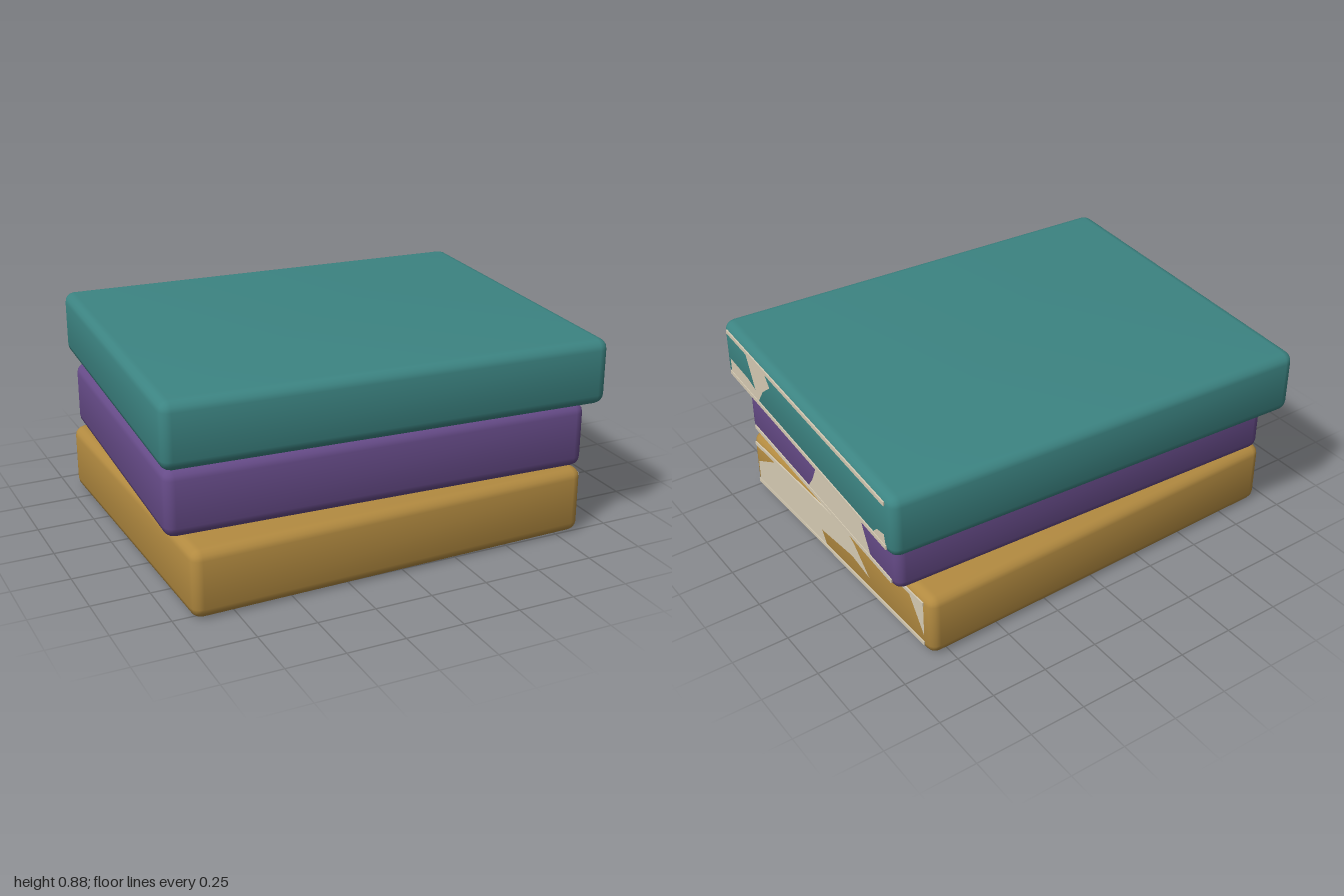
import * as THREE from 'three';
import { RoundedBoxGeometry } from 'three/addons/geometries/RoundedBoxGeometry.js';

const flat = (name, color) => {
  const m = new THREE.MeshStandardMaterial({ color });
  m.name = name;
  return m;
};

// Each book: size, height range, turn, and the page patches showing on its +x side
const BOOKS = [
  {
    name: 'bottomBook', cover: ['ochre', 0xb28a40], w: 1.79, d: 1.455, y: [0, 0.295],
    x: -0.047, z: 0.055, turn: 0.02, rail: [-0.69, 0.676],
    patches: [
      [[-0.681, 0.006], [-0.506, 0.098], [0.107, 0.098], [0.155, 0.067], [0.265, -0.043],
        [0.133, -0.012], [-0.12, -0.034], [-0.081, -0.1], [-0.681, -0.1]],
      [[0.571, 0.098], [0.676, 0.098], [0.676, -0.06]],
    ],
  },
  {
    name: 'middleBook', cover: ['purple', 0x664b88], w: 1.845, d: 1.35, y: [0.305, 0.592],
    x: -0.035, z: 0.05, turn: -0.045, rail: [-0.626, 0.635],
    patches: [
      [[-0.096, -0.102], [-0.044, -0.032], [0.004, 0.064], [0.092, 0.09], [0.429, 0.09],
        [0.39, 0.06], [0.407, 0.012], [0.468, -0.102]],
    ],
  },
  {
    name: 'topBook', cover: ['teal', 0x3c8482], w: 1.922, d: 1.535, y: [0.595, 0.88],
    x: 0, z: 0, turn: -0.055, rail: [-0.717, 0.718],
    patches: [
      [[-0.525, 0.098], [-0.337, 0.098], [-0.288, 0.046], [-0.367, -0.015], [-0.42, -0.086],
        [-0.393, -0.103], [-0.708, -0.103], [-0.708, -0.029], [-0.529, -0.033], [-0.45, -0.05]],
      [[0.604, -0.103], [0.648, -0.059], [0.705, -0.046], [0.718, -0.103]],
    ],
  },
];

// Rounded slab whose normals lean outward near the edges for a soft, padded look
function slabGeometry(w, h, d) {
  const g = new RoundedBoxGeometry(w, h, d, 2, 0.045);
  const p = g.attributes.position;
  const n = g.attributes.normal;
  const v = new THREE.Vector3();
  for (let i = 0; i < p.count; i++) {
    v.set(
      n.getX(i) + 0.12 * p.getX(i) / w,
      n.getY(i) + 0.5 * p.getY(i) / h,
      n.getZ(i) + 0.12 * p.getZ(i) / d,
    ).normalize();
    n.setXYZ(i, v.x, v.y, v.z);
  }
  return g;
}

function makeBook(spec, paper) {
  const book = new THREE.Group();
  book.name = spec.name;
  const h = spec.y[1] - spec.y[0];
  const cover = new THREE.Mesh(slabGeometry(spec.w, h, spec.d), flat(...spec.cover));
  cover.name = 'cover';
  book.add(cover);

  // Thin page details on the open side
  const pages = new THREE.Group();
  pages.name = 'pages';
  pages.position.x = spec.w / 2 + 0.002;
  pages.rotation.y = Math.PI / 2;
  for (const outline of spec.patches) {
    const shape = new THREE.Shape(outline.map(([a, b]) => new THREE.Vector2(a, b)));
    const patch = new THREE.Mesh(new THREE.ShapeGeometry(shape), paper);
    patch.name = 'pagePatch';
    pages.add(patch);
  }
  const [a, b] = spec.rail;
  for (const side of [-1, 1]) {
    const strip = new THREE.Mesh(new THREE.BoxGeometry(b - a, 0.018, 0.006), paper);
    strip.name = side > 0 ? 'upperPageEdge' : 'lowerPageEdge';
    strip.position.set((a + b) / 2, side * 0.103, 0);
    pages.add(strip);
  }
  book.add(pages);

  book.position.set(spec.x, (spec.y[0] + spec.y[1]) / 2, spec.z);
  book.rotation.y = spec.turn;
  return book;
}

export function createModel() {
  const model = new THREE.Group();
  model.name = 'bookStack';
  const paper = flat('cream paper', 0xd6cbb4);
  for (const spec of BOOKS) model.add(makeBook(spec, paper));
  return model;
}
